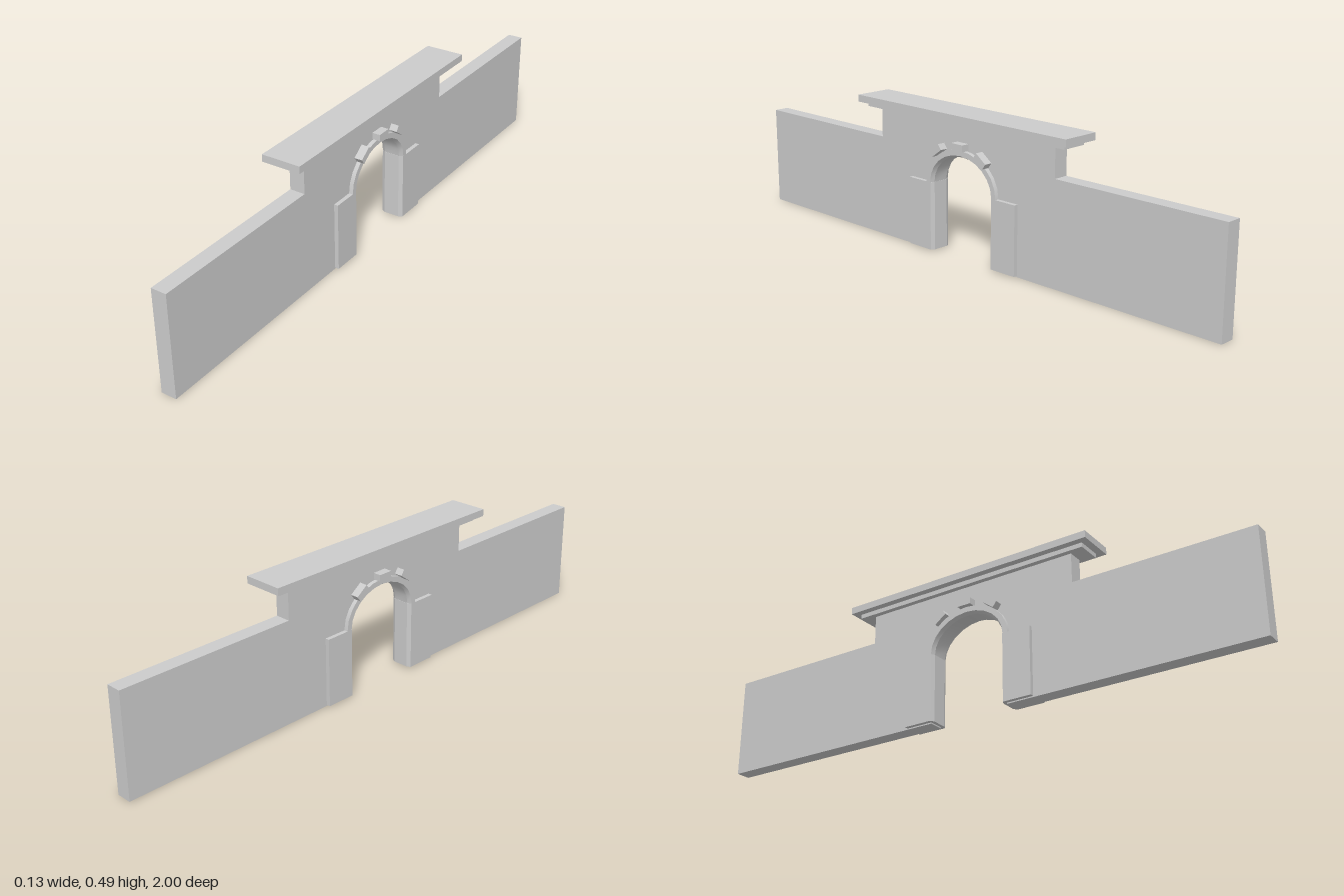
import * as THREE from 'three';
import { toCreasedNormals } from 'three/addons/utils/BufferGeometryUtils.js';

const SPRING = 0.237; // height where the arch starts
const material = new THREE.MeshStandardMaterial({ color: 0xcccccc });

// Point on the half-elliptical arch; t = 0 at the inner edge, 1 at the outer edge
function archPoint(angle, t) {
  const rz = 0.133 + 0.025 * t, ry = 0.107 + 0.025 * t;
  return [Math.cos(angle) * rz, SPRING + Math.sin(angle) * ry];
}

// Wall outline with raised centre and arched opening, extruded across x
function wallGeometry() {
  const s = new THREE.Shape();
  s.moveTo(-1, 0);
  s.lineTo(-0.145, 0);
  for (let i = 0; i <= 12; i++) s.lineTo(...archPoint(Math.PI * (1 - i / 12), 0.5));
  s.lineTo(0.145, 0);
  for (const [z, y] of [[1, 0], [1, 0.348], [0.39, 0.348], [0.39, 0.45], [-0.39, 0.45], [-0.39, 0.348], [-1, 0.348]]) s.lineTo(z, y);
  s.closePath();
  return new THREE.ExtrudeGeometry(s, { depth: 0.052, bevelEnabled: false })
    .translate(0, 0, -0.026).rotateY(-Math.PI / 2);
}

// Pier with chamfered inner corners, extruded upwards
function pierGeometry(side) {
  const plan = [[-0.04, 0.24], [-0.04, 0.139], [-0.027, 0.132], [0.027, 0.132], [0.04, 0.139], [0.04, 0.24]];
  const s = new THREE.Shape(plan.map(([x, z]) => new THREE.Vector2(x, -z * side)));
  return new THREE.ExtrudeGeometry(s, { depth: SPRING - 0.004, bevelEnabled: false })
    .rotateX(-Math.PI / 2).translate(0, 0.004, 0);
}

// Chamfered band swept around the arch
function archGeometry() {
  const section = [[-0.04, 1], [-0.04, 0.28], [-0.027, 0], [0.027, 0], [0.04, 0.28], [0.04, 1]];
  const n = section.length, steps = 12, pos = [], index = [];
  for (let i = 0; i <= steps; i++) {
    for (const [x, t] of section) {
      const [z, y] = archPoint(Math.PI * i / steps, t);
      pos.push(x, y, z);
    }
  }
  for (let i = 0; i < steps; i++) {
    for (let j = 0; j < n; j++) {
      const a = i * n + j, b = i * n + (j + 1) % n;
      index.push(a, b, a + n, b, b + n, a + n);
    }
  }
  const g = new THREE.BufferGeometry();
  g.setAttribute('position', new THREE.Float32BufferAttribute(pos, 3));
  g.setIndex(index);
  return toCreasedNormals(g, 0.35);
}

export function createModel() {
  const model = new THREE.Group();
  const add = (name, geometry, mat = material) => {
    const mesh = new THREE.Mesh(geometry, mat);
    mesh.name = name;
    model.add(mesh);
    return mesh;
  };

  add('wall', wallGeometry());
  const archMaterial = material.clone();
  archMaterial.side = THREE.DoubleSide;
  add('archBand', archGeometry(), archMaterial);
  for (const side of [1, -1]) add(side > 0 ? 'frontPier' : 'backPier', pierGeometry(side));

  // Three blocks standing proud around the crown of the arch
  for (const k of [-1, 0, 1]) {
    const block = add(k ? 'archBlock' : 'keystone', new THREE.BoxGeometry(0.108, 0.022, 0.05));
    block.position.set(0, k ? 0.354 : 0.381, k * 0.1);
    block.rotation.x = k * 0.63;
  }

  // Two-step coping over the raised centre
  add('lowerCoping', new THREE.BoxGeometry(0.088, 0.016, 0.88)).position.y = 0.457;
  add('upperCoping', new THREE.BoxGeometry(0.134, 0.024, 0.93)).position.y = 0.476;
  return model;
}
